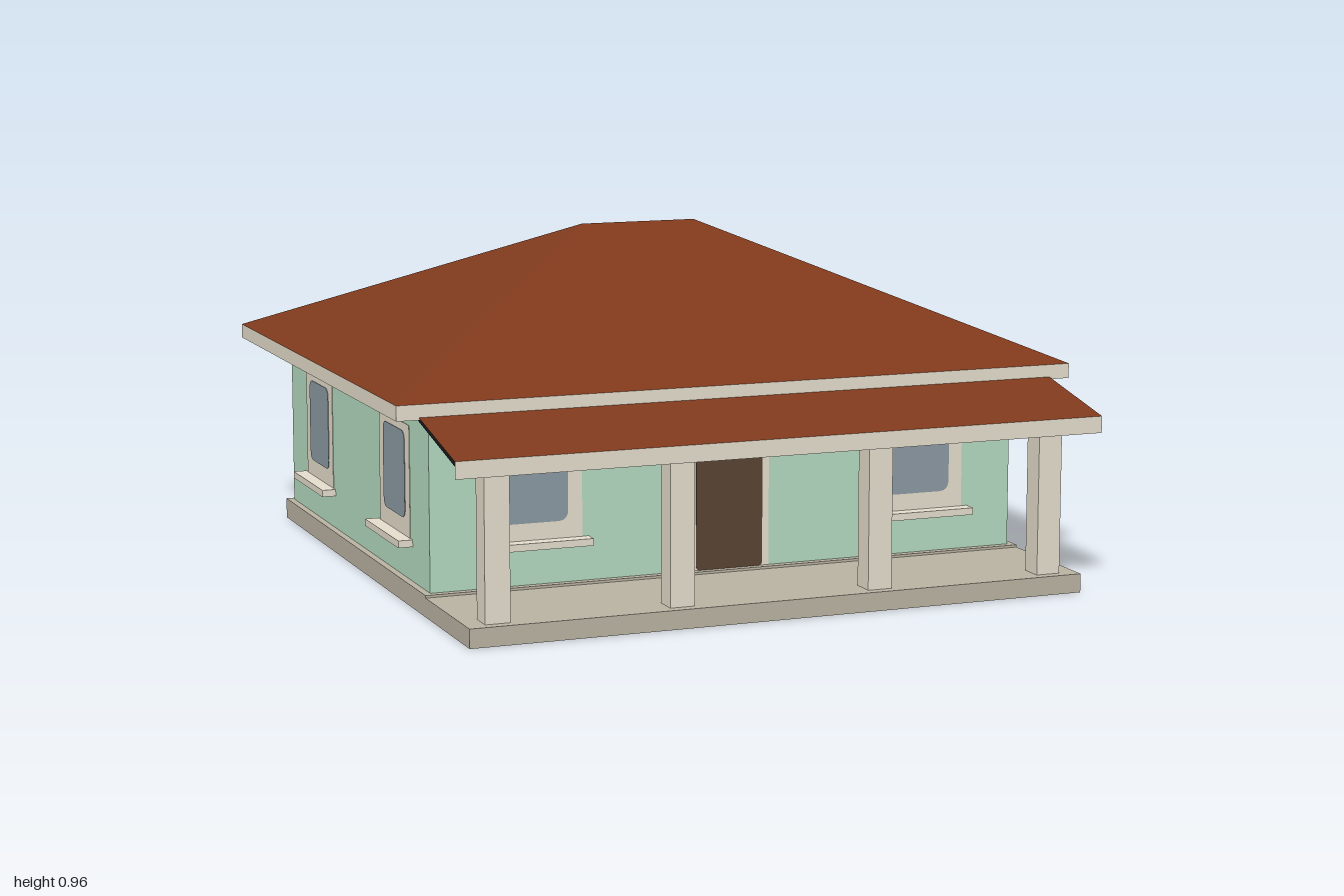
import * as THREE from 'three';

const mat = (name, color, side = THREE.FrontSide) => {
  const m = new THREE.MeshStandardMaterial({ color, side });
  m.name = name;
  return m;
};

export function createModel() {
  const house = new THREE.Group();
  house.name = 'house';

  const wall = mat('greenPlaster', 0xb3d9bf);
  const trim = mat('creamTrim', 0xe4dccb, THREE.DoubleSide);
  const stone = mat('stoneSlab', 0xb9b2a2);
  const tile = mat('roofTile', 0x7f391c);
  const glass = mat('windowGlass', 0x8a98a2);
  const wood = mat('doorWood', 0x584333);
  const dark = mat('darkSoffit', 0x111111, THREE.DoubleSide);

  const add = (parent, name, geometry, material) => {
    const mesh = new THREE.Mesh(geometry, material);
    mesh.name = name;
    parent.add(mesh);
    return mesh;
  };
  // Box given by its min and max corners
  const box = (parent, name, [x0, y0, z0], [x1, y1, z1], material) => {
    const mesh = add(parent, name, new THREE.BoxGeometry(x1 - x0, y1 - y0, z1 - z0), material);
    mesh.position.set((x0 + x1) / 2, (y0 + y1) / 2, (z0 + z1) / 2);
    return mesh;
  };
  // Flat faces from loops of corners, counter-clockwise from outside
  const faces = (loops) => {
    const p = [];
    for (const l of loops)
      for (let i = 1; i < l.length - 1; i++) p.push(...l[0], ...l[i], ...l[i + 1]);
    const g = new THREE.BufferGeometry();
    g.setAttribute('position', new THREE.Float32BufferAttribute(p, 3));
    g.computeVertexNormals();
    return g;
  };
  // Thin upright plate with rounded corners, facing +z
  const roundedPlate = (w, y0, y1, r, depth) => {
    const s = new THREE.Shape();
    const x = w / 2;
    s.moveTo(-x + r, y0);
    s.lineTo(x - r, y0);
    s.quadraticCurveTo(x, y0, x, y0 + r);
    s.lineTo(x, y1 - r);
    s.quadraticCurveTo(x, y1, x - r, y1);
    s.lineTo(-x + r, y1);
    s.quadraticCurveTo(-x, y1, -x, y1 - r);
    s.lineTo(-x, y0 + r);
    s.quadraticCurveTo(-x, y0, -x + r, y0);
    return new THREE.ExtrudeGeometry(s, { depth, bevelEnabled: false, curveSegments: 5 });
  };

  // Base and walls
  box(house, 'foundation', [-0.895, 0, -0.875], [0.895, 0.06, 0.572], stone);
  box(house, 'porchFloor', [-0.895, 0, 0.572], [0.895, 0.053, 0.952], stone);
  box(house, 'walls', [-0.875, 0.06, -0.855], [0.875, 0.56, 0.55], wall);

  // Eaves: cream edge with dark underside
  box(house, 'eaves', [-1, 0.558, -0.976], [1, 0.6, 0.67], [trim, trim, tile, dark, trim, trim]);

  // Hipped roof
  const [fl, fr, br, bl] = [[-1, 0.6, 0.67], [1, 0.6, 0.67], [1, 0.6, -0.976], [-1, 0.6, -0.976]];
  const [rl, rr] = [[-0.177, 0.964, -0.153], [0.177, 0.964, -0.153]];
  add(house, 'hippedRoof', faces([[fl, fr, rr, rl], [fr, br, rr], [br, bl, rl, rr], [bl, fl, rl]]), tile);

  // Porch roof with open ends and a dark lining close beneath it
  const porch = new THREE.Group();
  porch.name = 'porch';
  house.add(porch);
  const px = 0.938;
  const pz = 0.976;
  add(porch, 'porchRoof', faces([[[-px, 0.5, pz], [px, 0.5, pz], [px, 0.59, 0.55], [-px, 0.59, 0.55]]]), tile);
  add(porch, 'porchFascia', faces([[[-px, 0.453, pz], [px, 0.453, pz], [px, 0.5, pz], [-px, 0.5, pz]]]), trim);
  add(porch, 'porchSoffit', faces([[[-px, 0.58, 0.55], [px, 0.58, 0.55], [px, 0.487, pz], [-px, 0.487, pz]]]), dark);
  for (const x of [-0.808, -0.29, 0.29, 0.808])
    box(porch, 'porchColumn', [x - 0.035, 0.053, 0.855], [x + 0.035, 0.455, 0.923], trim);

  // Door
  const door = new THREE.Group();
  door.name = 'door';
  door.position.z = 0.55;
  house.add(door);
  box(door, 'doorFrame', [-0.12, 0.06, 0], [0.12, 0.44, 0.0015], trim);
  add(door, 'doorPanel', roundedPlate(0.2, 0.06, 0.415, 0.012, 0.003), wood);

  // Windows with sills, two on each wall
  const addWindow = (x, y, z, turn) => {
    const w = new THREE.Group();
    w.name = 'window';
    w.position.set(x, y, z);
    w.rotation.y = turn;
    house.add(w);
    box(w, 'windowFrame', [-0.143, 0.178, 0], [0.143, 0.495, 0.0015], trim);
    add(w, 'windowPane', roundedPlate(0.203, 0.228, 0.472, 0.03, 0.003), glass);
    box(w, 'windowSill', [-0.162, 0.16, -0.005], [0.162, 0.18, 0.041], trim);
  };
  for (const s of [-1, 1]) {
    addWindow(s * 0.58, 0.004, 0.55, 0);
    addWindow(s * 0.385, -0.003, -0.855, Math.PI);
    for (const z of [0.233, -0.54]) addWindow(s * 0.875, -0.003, z, s * Math.PI / 2);
  }

  return house;
}
